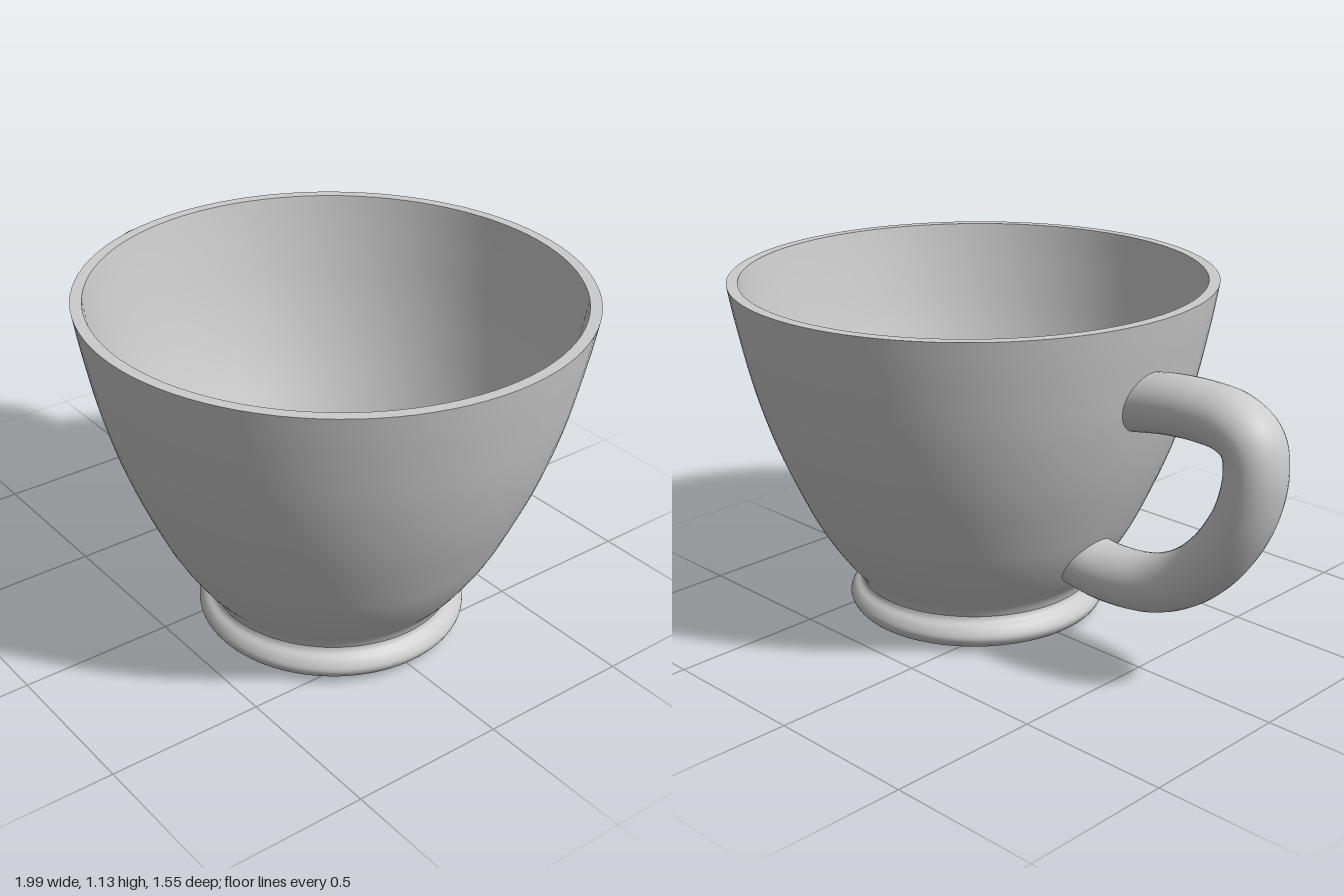
import * as THREE from 'three';

const CX = 0.22; // axis of the bowl
const material = new THREE.MeshStandardMaterial({ color: 0xcccccc });

const spline = (pts, n) =>
  new THREE.SplineCurve(pts.map(([x, y]) => new THREE.Vector2(x, y))).getPoints(n);

// Outer wall, neck to rim, as [radius, height]
const outer = spline([
  [0.383, 0.115], [0.4, 0.15], [0.445, 0.205], [0.505, 0.295], [0.56, 0.4], [0.645, 0.6],
  [0.708, 0.8], [0.752, 1.0], [0.775, 1.13],
], 48);

// Inner wall, rim to floor
const inner = spline([
  [0.74, 1.13], [0.717, 1.0], [0.673, 0.8], [0.61, 0.6], [0.525, 0.4], [0.47, 0.3],
  [0.4, 0.2], [0.362, 0.155], [0.345, 0.12],
], 48);

// Rounded foot, underside edge to neck
const foot = spline([
  [0.3, 0], [0.36, 0.006], [0.405, 0.022], [0.425, 0.052], [0.412, 0.082], [0.39, 0.1], [0.383, 0.115],
], 28);

function revolve(name, points) {
  const mesh = new THREE.Mesh(new THREE.LatheGeometry(points, 96), material);
  mesh.name = name;
  mesh.position.x = CX;
  return mesh;
}

// Radius of the outer wall at a height
function wallRadius(y) {
  const i = Math.max(1, outer.findIndex((p) => p.y >= y));
  const a = outer[i - 1], b = outer[i];
  return THREE.MathUtils.mapLinear(y, a.y, b.y, a.x, b.x);
}

// Handle: an oval tube whose ends are trimmed to stay within the wall
function makeHandle() {
  const path = new THREE.CatmullRomCurve3([
    [-0.4, 0.85], [-0.5, 0.87], [-0.6, 0.886], [-0.72, 0.892], [-0.82, 0.882], [-0.888, 0.84],
    [-0.908, 0.76], [-0.88, 0.62], [-0.795, 0.475], [-0.685, 0.37], [-0.55, 0.305],
    [-0.38, 0.284], [-0.27, 0.295], [-0.17, 0.315],
  ].map(([x, y]) => new THREE.Vector3(x, y, 0)));
  const geometry = new THREE.TubeGeometry(path, 140, 0.09, 32);
  geometry.scale(1, 1, 1.11);
  const pos = geometry.attributes.position;
  for (let i = 0; i < pos.count; i++) {
    const z = pos.getZ(i);
    const r = wallRadius(pos.getY(i)) - 0.018;
    pos.setX(i, Math.min(pos.getX(i), CX - Math.sqrt(r * r - z * z)));
  }
  const mesh = new THREE.Mesh(geometry, material);
  mesh.name = 'handle';
  return mesh;
}

export function createModel() {
  const group = new THREE.Group();
  group.name = 'cup';
  const v = (x, y) => new THREE.Vector2(x, y);
  group.add(
    revolve('base', [v(0, 0), v(0.3, 0)]),
    revolve('foot', foot),
    revolve('outerWall', outer),
    revolve('rim', [v(0.775, 1.13), v(0.74, 1.13)]),
    revolve('innerWall', inner),
    revolve('floor', [v(0.345, 0.12), v(0, 0.12)]),
    makeHandle(),
  );
  return group;
}
